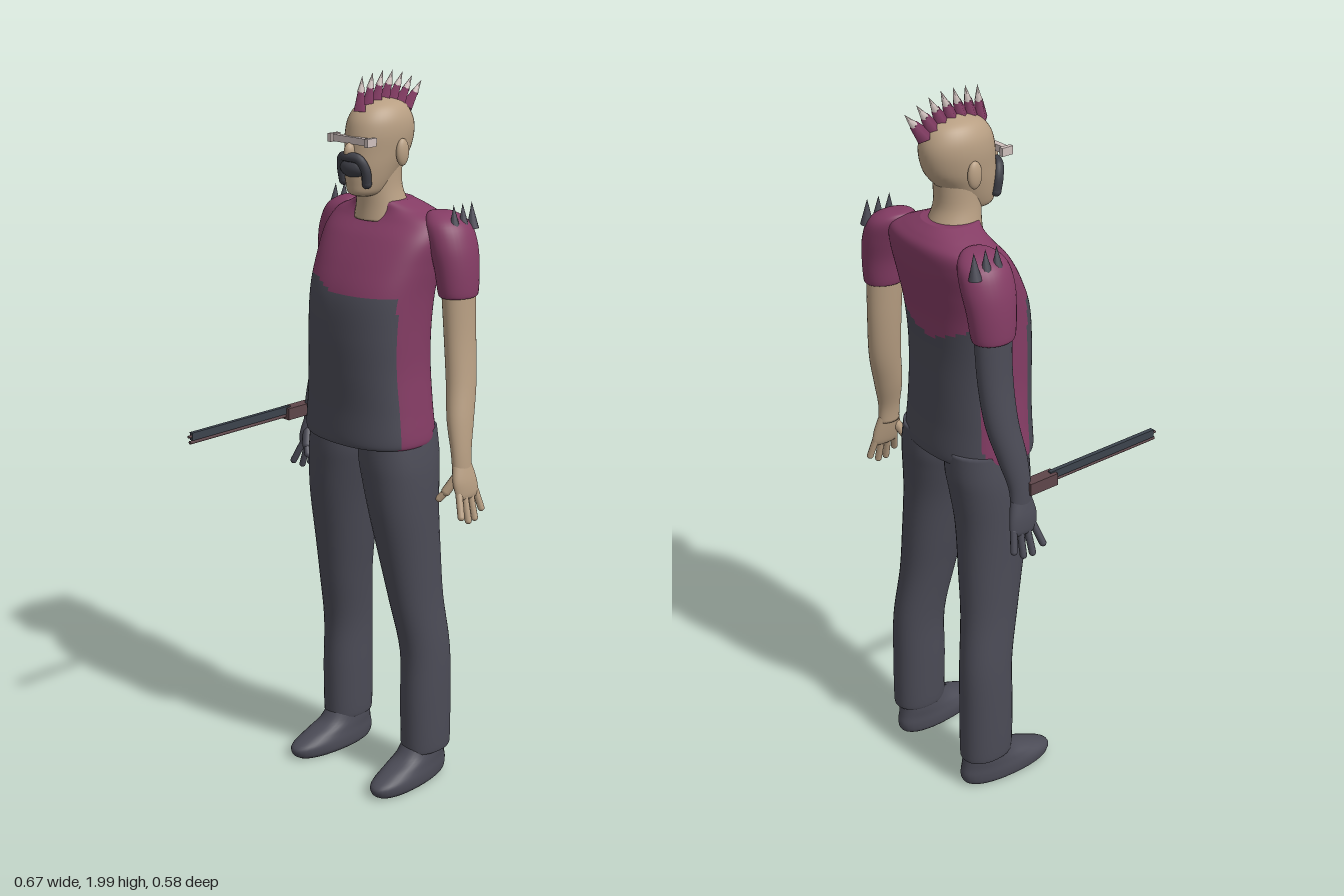
import * as THREE from 'three';

const mat = (name, color, side = THREE.FrontSide) => {
  const m = new THREE.MeshStandardMaterial({ color, side });
  m.name = name;
  return m;
};

// Smooth skin over horizontal oval rings [x, y, z, rx, rz], listed from bottom to top.
function loft(rings, { sides = 32, steps = 5, power = 2, paint } = {}) {
  const rows = [];
  const n = rings.length;
  for (let j = 0; j <= (n - 1) * steps; j++) {
    const k = Math.min(Math.floor(j / steps), n - 2), t = j / steps - k;
    const p = [k - 1, k, k + 1, k + 2].map(i => rings[Math.max(0, Math.min(n - 1, i))]);
    rows.push(p[1].map((b, c) => {
      const a = p[0][c], d = p[2][c], e = p[3][c];
      return b + 0.5 * t * (d - a + t * (2 * a - 5 * b + 4 * d - e + t * (3 * (b - d) + e - a)));
    }));
  }
  const pos = [], groups = [[], []];
  const bulge = v => Math.sign(v) * Math.pow(Math.abs(v), 2 / power);
  for (const [x, y, z, rx, rz] of rows) {
    for (let i = 0; i < sides; i++) {
      const a = i / sides * Math.PI * 2;
      pos.push(x + rx * bulge(Math.cos(a)), y, z + rz * bulge(Math.sin(a)));
    }
  }
  const first = rows[0], last = rows[rows.length - 1], base = rows.length * sides;
  pos.push(first[0], first[1], first[2], last[0], last[1], last[2]);
  const add = (...f) => {
    const mid = [0, 1, 2].map(c => f.reduce((s, v) => s + pos[v * 3 + c], 0) / f.length);
    const g = paint ? paint(...mid) : 0;
    groups[g].push(f[0], f[1], f[2]);
    if (f.length === 4) groups[g].push(f[2], f[1], f[3]);
  };
  for (let i = 0; i < sides; i++) {
    const q = (i + 1) % sides;
    for (let j = 0; j < rows.length - 1; j++) {
      add(j * sides + i, (j + 1) * sides + i, j * sides + q, (j + 1) * sides + q);
    }
    add(base, i, q);
    add(base + 1, base - sides + q, base - sides + i);
  }
  const geo = new THREE.BufferGeometry();
  geo.setAttribute('position', new THREE.Float32BufferAttribute(pos, 3));
  geo.setIndex([...groups[0], ...groups[1]]);
  if (paint) {
    geo.addGroup(0, groups[0].length, 0);
    geo.addGroup(groups[0].length, groups[1].length, 1);
  }
  geo.computeVertexNormals();
  return geo;
}

export function createModel() {
  const root = new THREE.Group();
  const magenta = mat('magentaCloth', 0x843c64);
  const dark = mat('darkCloth', 0x4b4b56);
  const skin = mat('skin', 0xb89f83);
  const pale = mat('paleMetal', 0xcfc0bd);
  const black = mat('beardGrey', 0x3d3e46);
  const steel = mat('gunSteel', 0x3c434d);
  const brown = mat('gunBrown', 0x5e464a);

  const put = (name, geo, material, parent = root, x = 0, y = 0, z = 0) => {
    const m = new THREE.Mesh(geo, material);
    m.name = name;
    m.position.set(x, y, z);
    parent.add(m);
    return m;
  };
  const ball = (name, material, x, y, z, sx, sy, sz) =>
    put(name, new THREE.SphereGeometry(1, 20, 14), material, root, x, y, z).scale.set(sx, sy, sz);
  const rod = (name, material, a, b, r) => {
    const p = new THREE.Vector3(...a), d = new THREE.Vector3(...b).sub(p);
    const m = put(name, new THREE.CapsuleGeometry(r, d.length(), 5, 10), material);
    m.position.copy(p).addScaledVector(d, 0.5);
    m.quaternion.setFromUnitVectors(new THREE.Vector3(0, 1, 0), d.normalize());
  };

  // Shirt with dark front and back panels
  const panel = (x, y, z) => {
    if (z > -0.045) return y < 1.43 + 0.03 * THREE.MathUtils.smoothstep(-x, 0, 0.12) ? 1 : 0;
    return z < -0.19 && y < 1.36 + 0.4 * Math.abs(x + 0.02) ? 1 : 0;
  };
  put('shirt', loft([
    [0, 1.015, -0.11, 0.18, 0.132], [0, 1.03, -0.11, 0.192, 0.142], [0, 1.12, -0.108, 0.184, 0.138],
    [0, 1.22, -0.105, 0.175, 0.139], [0, 1.32, -0.105, 0.174, 0.14], [0, 1.42, -0.115, 0.177, 0.14],
    [0, 1.5, -0.138, 0.185, 0.13], [0, 1.57, -0.165, 0.192, 0.113], [0, 1.615, -0.185, 0.175, 0.093],
    [0, 1.64, -0.182, 0.125, 0.078], [0, 1.662, -0.165, 0.072, 0.066],
  ], { sides: 96, steps: 9, power: 2.3, paint: panel }), [magenta, dark]);

  // Neck and head
  put('neck', loft([
    [0, 1.61, -0.155, 0.078, 0.078], [0, 1.65, -0.15, 0.068, 0.07],
    [0, 1.7, -0.14, 0.058, 0.062], [0, 1.77, -0.14, 0.056, 0.065],
  ]), skin);
  put('head', loft([
    [0, 1.675, -0.09, 0.02, 0.03], [0, 1.685, -0.09, 0.04, 0.053], [0, 1.71, -0.1, 0.052, 0.068],
    [0, 1.75, -0.115, 0.063, 0.085], [0, 1.79, -0.132, 0.071, 0.1], [0, 1.84, -0.14, 0.076, 0.104],
    [0, 1.88, -0.142, 0.07, 0.093], [0, 1.91, -0.144, 0.049, 0.064], [0, 1.925, -0.145, 0.008, 0.01],
  ], { sides: 40 }), skin);
  ball('nose', skin, 0, 1.795, -0.033, 0.014, 0.025, 0.021);

  // Visor
  put('visorBar', new THREE.BoxGeometry(0.14, 0.018, 0.016), pale, root, 0, 1.825, -0.036);
  for (const s of [-1, 1]) {
    put('visorEnd', new THREE.BoxGeometry(0.012, 0.022, 0.034), pale, root, s * 0.067, 1.825, -0.038);
  }

  // Moustache and beard
  const path = [[-0.043, 1.715, -0.05], [-0.044, 1.75, -0.044], [-0.03, 1.778, -0.033], [0, 1.783, -0.023],
    [0.03, 1.778, -0.033], [0.044, 1.75, -0.044], [0.043, 1.715, -0.05]];
  const curve = new THREE.CatmullRomCurve3(path.map(p => new THREE.Vector3(...p)));
  put('moustache', new THREE.TubeGeometry(curve, 32, 0.013, 10), black);
  for (const p of [path[0], path[6]]) ball('moustacheEnd', black, ...p, 0.013, 0.014, 0.013);
  ball('beard', black, 0, 1.752, -0.045, 0.043, 0.026, 0.028);

  // Mohawk: faceted tufts with pale tips, fanning backwards
  for (let i = 0; i < 7; i++) {
    const t = i / 6, tuft = new THREE.Group();
    tuft.name = 'mohawkTuft';
    tuft.position.set(0, 1.9 + 0.018 * Math.sin(t * Math.PI) - 0.01 * t, -0.066 - 0.174 * t);
    tuft.rotation.x = -0.1 - 0.6 * t;
    put('tuftBase', new THREE.CylinderGeometry(0.012, 0.022, 0.05, 4).toNonIndexed(), magenta, tuft, 0, 0.02, 0);
    put('tuftTip', new THREE.ConeGeometry(0.011, 0.042, 6), pale, tuft, 0, 0.064, 0);
    root.add(tuft);
  }

  for (const s of [-1, 1]) {
    const side = rings => rings.map(([x, ...r]) => [s * x, ...r]);
    const armMat = s > 0 ? skin : dark;

    // Ear
    ball('ear', skin, s * 0.078, 1.79, -0.145, 0.012, 0.036, 0.021);

    // Sleeve and arm
    put('sleeve', loft(side([
      [0.227, 1.425, -0.207, 0.04, 0.05], [0.227, 1.432, -0.207, 0.047, 0.06], [0.22, 1.5, -0.207, 0.052, 0.068],
      [0.205, 1.56, -0.207, 0.057, 0.073], [0.185, 1.61, -0.207, 0.055, 0.066], [0.165, 1.636, -0.205, 0.035, 0.04],
      [0.155, 1.642, -0.2, 0.006, 0.008],
    ])), magenta);
    put('arm', loft(side([
      [0.29, 0.965, -0.167, 0.02, 0.032], [0.284, 1.02, -0.168, 0.023, 0.033], [0.268, 1.1, -0.18, 0.031, 0.042],
      [0.25, 1.2, -0.2, 0.035, 0.047], [0.235, 1.32, -0.208, 0.036, 0.05], [0.226, 1.45, -0.208, 0.038, 0.053],
    ])), armMat);

    // Hand
    put('palm', loft(side([
      [0.306, 0.89, -0.172, 0.01, 0.036], [0.304, 0.905, -0.172, 0.015, 0.042], [0.298, 0.94, -0.168, 0.019, 0.042],
      [0.288, 0.985, -0.167, 0.019, 0.031],
    ])), armMat);
    [[-0.14, -0.125, 0.85], [-0.161, -0.157, 0.832], [-0.183, -0.185, 0.833], [-0.204, -0.214, 0.853]]
      .forEach(([z0, z1, y], i) =>
        rod('finger', armMat, [s * 0.305, 0.905, z0], [s * (0.328 - 0.003 * i), y, z1], 0.0095));
    rod('thumb', armMat, [s * 0.29, 0.95, -0.145], [s * 0.272, 0.91, -0.125], 0.013);
    rod('thumbTip', armMat, [s * 0.272, 0.91, -0.125], [s * 0.257, 0.888, -0.115], 0.01);

    // Shoulder spikes
    for (const z of [-0.26, -0.225, -0.191]) {
      const spike = put('shoulderSpike', new THREE.ConeGeometry(0.017, 0.07, 10), dark, root, s * 0.222, 1.63, z);
      spike.rotation.z = s * 0.08;
    }

    // Trouser leg
    put('trouserLeg', loft(side([
      [0.158, 0.095, -0.182, 0.052, 0.074], [0.158, 0.11, -0.182, 0.058, 0.079], [0.157, 0.25, -0.18, 0.06, 0.08],
      [0.154, 0.4, -0.178, 0.06, 0.078], [0.14, 0.55, -0.155, 0.065, 0.083], [0.128, 0.68, -0.14, 0.075, 0.092],
      [0.116, 0.82, -0.125, 0.087, 0.103], [0.104, 0.92, -0.123, 0.097, 0.112], [0.096, 0.98, -0.124, 0.1, 0.117],
      [0.09, 1.05, -0.124, 0.095, 0.115],
    ]), { power: 2.15 }), dark);

    // Shoe, toes turned slightly out
    const shoe = put('shoe', loft([
      [0, 0, 0.07, 0.044, 0.128], [0, 0.012, 0.07, 0.053, 0.143], [0, 0.035, 0.068, 0.055, 0.146],
      [0, 0.06, 0.045, 0.052, 0.118], [0, 0.085, 0.018, 0.05, 0.086], [0, 0.12, 0.005, 0.047, 0.068],
    ], { power: 2.2 }), dark, root, s * 0.153, 0, -0.182);
    shoe.rotation.y = s * 0.06;
  }

  // Wrist-mounted gun
  const gun = new THREE.Group();
  gun.name = 'gun';
  gun.position.set(-0.297, 1.012, 0);
  root.add(gun);
  put('gunBlock', new THREE.BoxGeometry(0.033, 0.034, 0.09), brown, gun, 0, 0, -0.109);
  put('barrel', new THREE.BoxGeometry(0.012, 0.022, 0.36), steel, gun, 0, 0.01, 0.1);
  const tube = new THREE.CylinderGeometry(0.005, 0.005, 0.355, 10).rotateX(Math.PI / 2);
  put('underRod', tube, brown, gun, 0, -0.007, 0.108);
  const muzzle = new THREE.CylinderGeometry(0.004, 0.004, 0.014, 10).rotateX(Math.PI / 2);
  put('muzzle', muzzle, brown, gun, 0, 0.01, 0.283);

  return root;
}
